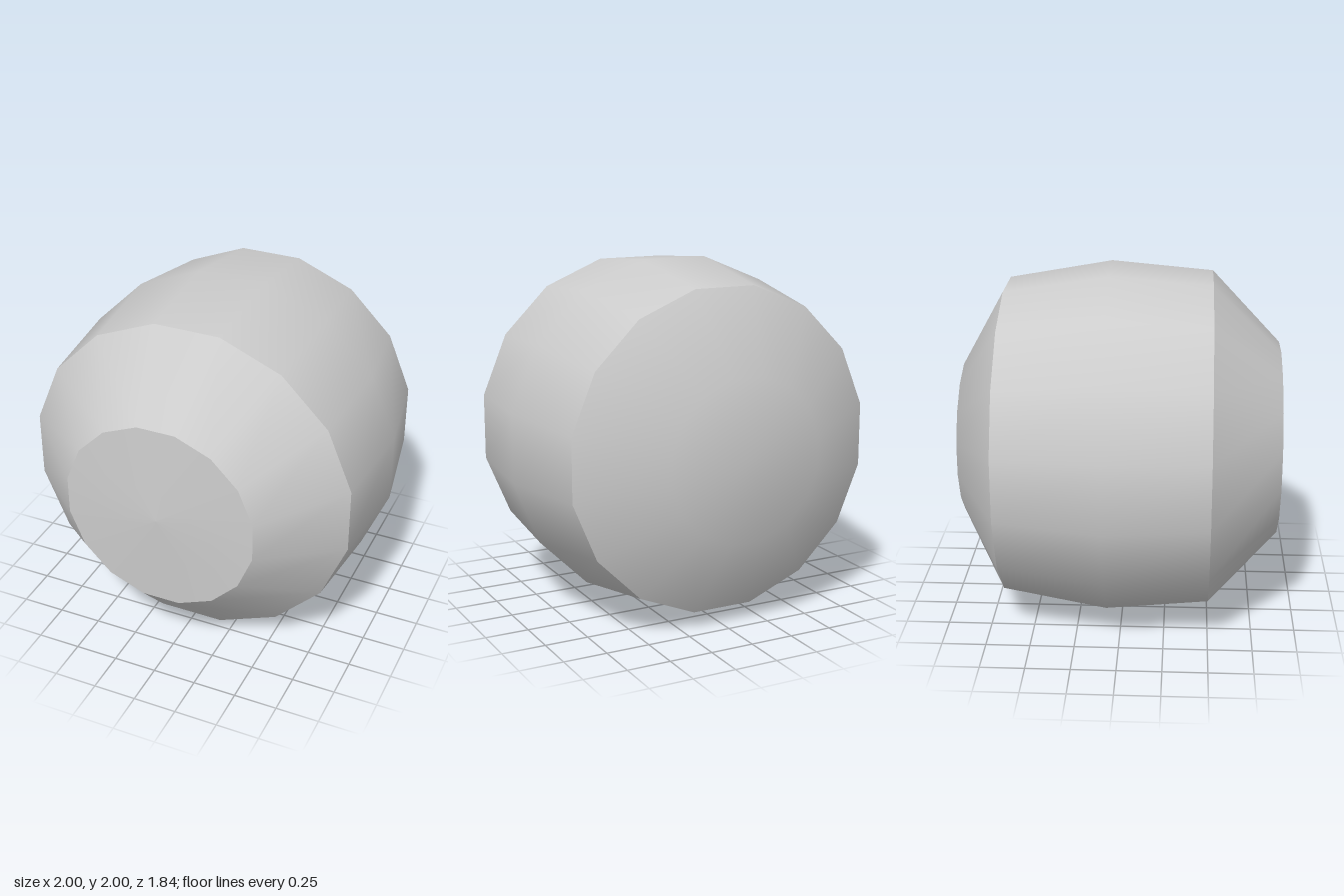
import * as THREE from 'three';

const SIDES = 16;
const HALF = Math.PI / SIDES;

// Each part is a smooth band turned about z; edges between parts stay sharp.
// Profiles run back to front as [distance to flat side, z].
const PARTS = {
  backDome: [[0, -0.92], [0.45, -0.92], [0.9, -0.67]],
  body: [[0.9, -0.67], [1, -0.08], [0.95, 0.5]],
  frontBevel: [[0.95, 0.5], [0.55, 0.89]],
  frontCap: [[0.55, 0.89], [0, 0.92]],
};

function band(profile) {
  const points = profile.map(([r, z]) => new THREE.Vector2(r / Math.cos(HALF), z));
  // Half a step of turn puts flat sides at top, bottom, left and right
  const geometry = new THREE.LatheGeometry(points, SIDES, HALF, Math.PI * 2);
  return geometry.rotateX(Math.PI / 2).translate(0, 1, 0);
}

export function createModel() {
  const grey = new THREE.MeshStandardMaterial({ color: 0xcccccc });
  grey.name = 'light grey';

  const model = new THREE.Group();
  model.name = 'facetedBarrel';
  for (const [name, profile] of Object.entries(PARTS)) {
    const mesh = new THREE.Mesh(band(profile), grey);
    mesh.name = name;
    model.add(mesh);
  }
  return model;
}
